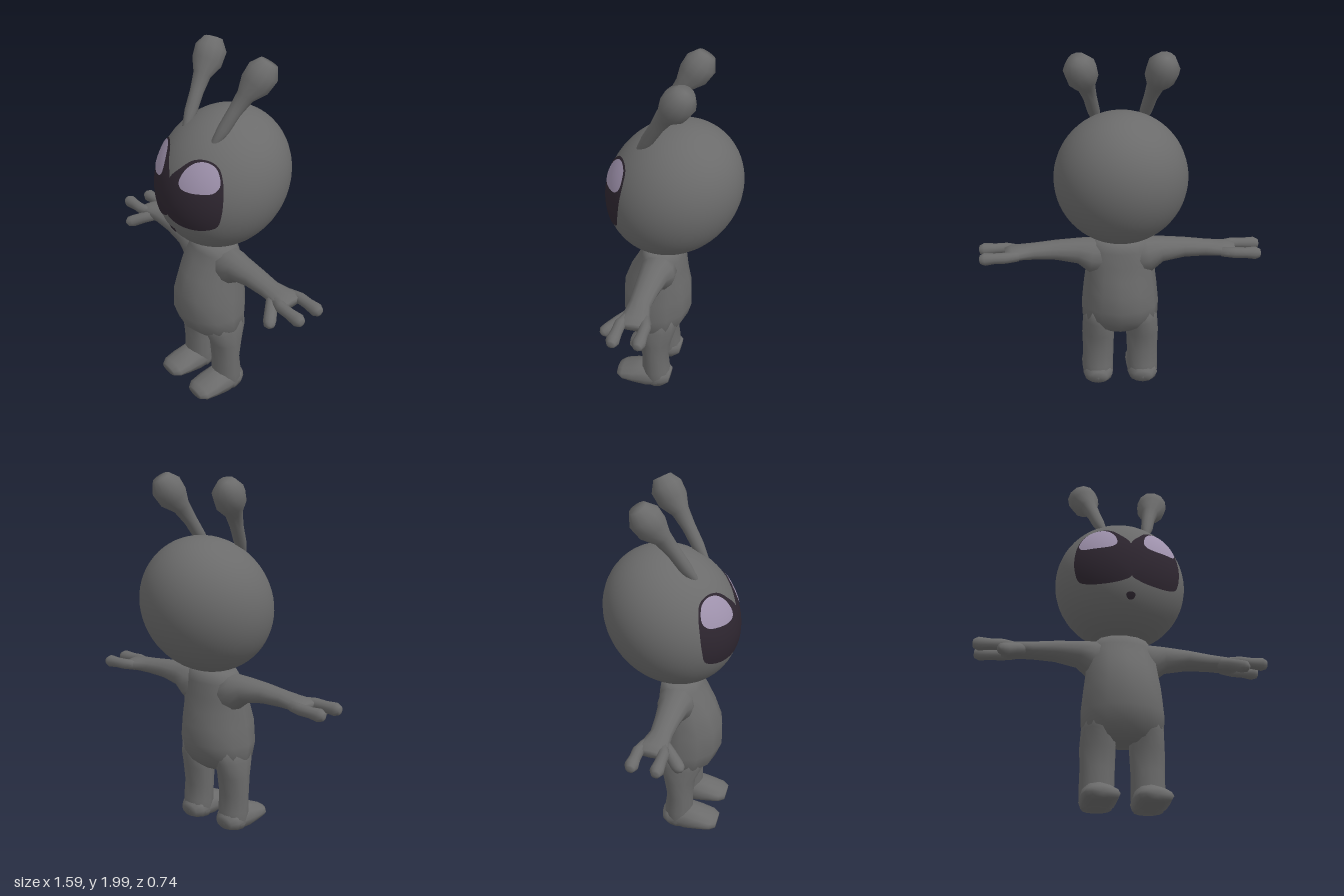
import * as THREE from 'three';

const SIDES = 12;
// Head ellipsoid: radii, centre height and forward-down slant
const HEAD = { x: 0.362, y: 0.375, z: 0.368, cy: 1.295, slant: 0.14 };

// Skin over elliptical rings. Each section: [x, y, z, radiusAlongRef, radiusAcross]
function loft(sections, ref, side = 1) {
  const centers = sections.map(s => new THREE.Vector3(s[0] * side, s[1], s[2]));
  const last = centers.length - 1, pos = [], idx = [];
  centers.forEach((c, i) => {
    const t = centers[Math.min(i + 1, last)].clone().sub(centers[Math.max(i - 1, 0)]).normalize();
    const u = ref.clone().addScaledVector(t, -ref.dot(t)).normalize();
    const v = t.clone().cross(u);
    for (let j = 0; j < SIDES; j++) {
      const a = j / SIDES * Math.PI * 2;
      const p = c.clone().addScaledVector(u, Math.cos(a) * sections[i][3])
        .addScaledVector(v, Math.sin(a) * (sections[i][4] ?? sections[i][3]));
      pos.push(p.x, Math.max(0, p.y), p.z);
    }
  });
  for (let i = 0; i < last; i++) for (let j = 0; j < SIDES; j++) {
    const k = (j + 1) % SIDES, a = i * SIDES, b = a + SIDES;
    idx.push(a + j, a + k, b + j, a + k, b + k, b + j);
  }
  // end caps
  const n = pos.length / 3;
  for (const c of [centers[0], centers[last]]) pos.push(c.x, Math.max(0, c.y), c.z);
  for (let j = 0; j < SIDES; j++) {
    const k = (j + 1) % SIDES;
    idx.push(n, k, j, n + 1, last * SIDES + j, last * SIDES + k);
  }
  return finish(pos, idx);
}

function finish(pos, idx) {
  const g = new THREE.BufferGeometry();
  g.setAttribute('position', new THREE.Float32BufferAttribute(pos, 3));
  g.setIndex(idx);
  g.computeVertexNormals();
  return g;
}

// Depth of the front of the head at x, y
function headZ(x, y, grow) {
  let z = 0.3;
  for (let i = 0; i < 12; i++) {
    const q = 1 - (x / HEAD.x / grow) ** 2 - ((y - HEAD.cy + HEAD.slant * z) / HEAD.y / grow) ** 2;
    z = HEAD.z * grow * Math.sqrt(Math.max(0, q));
  }
  return z;
}

// Thin painted face hugging the head; outline runs clockwise seen from the front
function facePatch(outline, cx, cy, grow, side = 1) {
  const curve = new THREE.CatmullRomCurve3(outline.map(p => new THREE.Vector3(p[0], p[1], 0)), true);
  const N = 48, RINGS = 10, pos = [], idx = [];
  const rim = curve.getPoints(N).slice(0, N);
  for (let r = 0; r <= RINGS; r++) for (const p of rim) {
    const x = (cx + (p.x - cx) * r / RINGS) * side, y = cy + (p.y - cy) * r / RINGS;
    pos.push(x, y, headZ(x, y, grow));
  }
  for (let r = 0; r < RINGS; r++) for (let j = 0; j < N; j++) {
    const k = (j + 1) % N, a = r * N, b = a + N;
    const quad = [a + j, a + k, b + j, a + k, b + k, b + j];
    idx.push(...(side > 0 ? quad : quad.reverse()));
  }
  return finish(pos, idx);
}

export function createModel() {
  const model = new THREE.Group();
  model.name = 'alien';
  const paint = (name, color) => {
    const m = new THREE.MeshStandardMaterial({ color });
    m.name = name;
    return m;
  };
  const skin = paint('grey skin', 0x6b6b6b);
  const dark = paint('dark eye', 0x2e2630);
  const lilac = paint('lilac shine', 0xa093ae);
  const add = (name, geometry, material = skin) => {
    const mesh = new THREE.Mesh(geometry, material);
    mesh.name = name;
    model.add(mesh);
  };
  const X = new THREE.Vector3(1, 0, 0), Y = new THREE.Vector3(0, 1, 0);

  // Head: slanted ellipsoid
  const head = new THREE.SphereGeometry(1, 48, 32);
  head.applyMatrix4(new THREE.Matrix4().set(
    HEAD.x, 0, 0, 0,
    0, HEAD.y, -HEAD.slant * HEAD.z, HEAD.cy,
    0, 0, HEAD.z, 0,
    0, 0, 0, 1));
  add('head', head);

  // Mouth
  const mouth = [[-0.025, 1.085], [-0.012, 1.096], [0.012, 1.096], [0.025, 1.085], [0.012, 1.062], [-0.012, 1.062]];
  add('mouth', facePatch(mouth, 0, 1.08, 1.011), dark);

  // Torso with round belly
  add('torso', loft([
    [0, 0.34, 0.085, 0.11, 0.08], [0, 0.37, 0.085, 0.18, 0.125], [0, 0.42, 0.09, 0.218, 0.17],
    [0, 0.5, 0.097, 0.222, 0.197], [0, 0.62, 0.097, 0.21, 0.197], [0, 0.72, 0.085, 0.197, 0.168],
    [0, 0.8, 0.07, 0.192, 0.14], [0, 0.87, 0.06, 0.18, 0.12], [0, 0.925, 0.06, 0.14, 0.105],
  ], X));

  const eye = [[0, 1.385], [0.05, 1.45], [0.1, 1.5], [0.16, 1.512], [0.22, 1.49], [0.262, 1.43], [0.286, 1.34],
    [0.286, 1.25], [0.262, 1.175], [0.2, 1.145], [0.11, 1.14], [0.04, 1.155], [0, 1.18]];
  const shine = [[0.073, 1.39], [0.085, 1.45], [0.12, 1.493], [0.165, 1.505], [0.215, 1.488], [0.25, 1.445],
    [0.264, 1.4], [0.25, 1.37], [0.2, 1.358], [0.13, 1.355], [0.09, 1.365]];

  for (const side of [1, -1]) {
    const label = side > 0 ? 'left' : 'right';
    const limb = (name, sections, ref) => add(label + name, loft(sections, ref, side));

    add(label + 'Eye', facePatch(eye, 0.14, 1.33, 1.011, side), dark);
    add(label + 'EyeShine', facePatch(shine, 0.17, 1.425, 1.021, side), lilac);

    // Antenna with bulb tip
    limb('Antenna', [
      [0.12, 1.56, 0.155, 0.02], [0.14, 1.64, 0.105, 0.034], [0.16, 1.73, 0.05, 0.037],
      [0.18, 1.805, 0, 0.048], [0.197, 1.86, -0.045, 0.082], [0.213, 1.92, -0.085, 0.086],
      [0.225, 1.968, -0.112, 0.05],
    ], X);

    // Arm widening into the palm
    limb('Arm', [
      [0.05, 0.81, 0.06, 0.11, 0.1], [0.16, 0.815, 0.06, 0.102, 0.1], [0.23, 0.84, 0.065, 0.072, 0.082],
      [0.36, 0.847, 0.066, 0.054, 0.068], [0.48, 0.842, 0.066, 0.045, 0.06], [0.56, 0.84, 0.06, 0.039, 0.074],
      [0.61, 0.838, 0.055, 0.036, 0.09], [0.645, 0.836, 0.052, 0.022, 0.075],
    ], Y);

    // Two fingers and a thumb
    for (const [name, z, tip] of [['BackFinger', -0.01, 0.784], ['FrontFinger', 0.122, 0.795]]) {
      limb(name, [
        [0.57, 0.838, z * 0.7 + 0.015, 0.028], [0.64, 0.838, z, 0.031], [0.7, 0.836, z, 0.03],
        [tip - 0.03, 0.834, z, 0.036], [tip - 0.004, 0.832, z, 0.024], [tip, 0.832, z, 0.012],
      ], Y);
    }
    limb('Thumb', [
      [0.53, 0.835, 0.09, 0.03], [0.585, 0.81, 0.145, 0.032], [0.63, 0.784, 0.19, 0.034],
      [0.65, 0.776, 0.21, 0.029], [0.66, 0.772, 0.22, 0.012],
    ], Y);

    // Leg and foot, flat on the ground
    limb('Leg', [
      [0.12, 0.5, 0.09, 0.08, 0.13], [0.125, 0.4, 0.085, 0.092, 0.125], [0.129, 0.31, 0.08, 0.094, 0.092],
      [0.13, 0.2, 0.085, 0.09, 0.076], [0.132, 0.1, 0.08, 0.09, 0.082], [0.132, 0.03, 0.075, 0.088, 0.082],
      [0.132, 0, 0.075, 0.076, 0.074],
    ], X);
    limb('Foot', [
      [0.132, 0.04, -0.006, 0.055, 0.04], [0.132, 0.045, 0.03, 0.084, 0.065], [0.132, 0.045, 0.13, 0.092, 0.085],
      [0.132, 0.04, 0.21, 0.094, 0.06], [0.132, 0.034, 0.275, 0.088, 0.04], [0.132, 0.03, 0.308, 0.06, 0.028],
    ], X);
  }
  return model;
}
